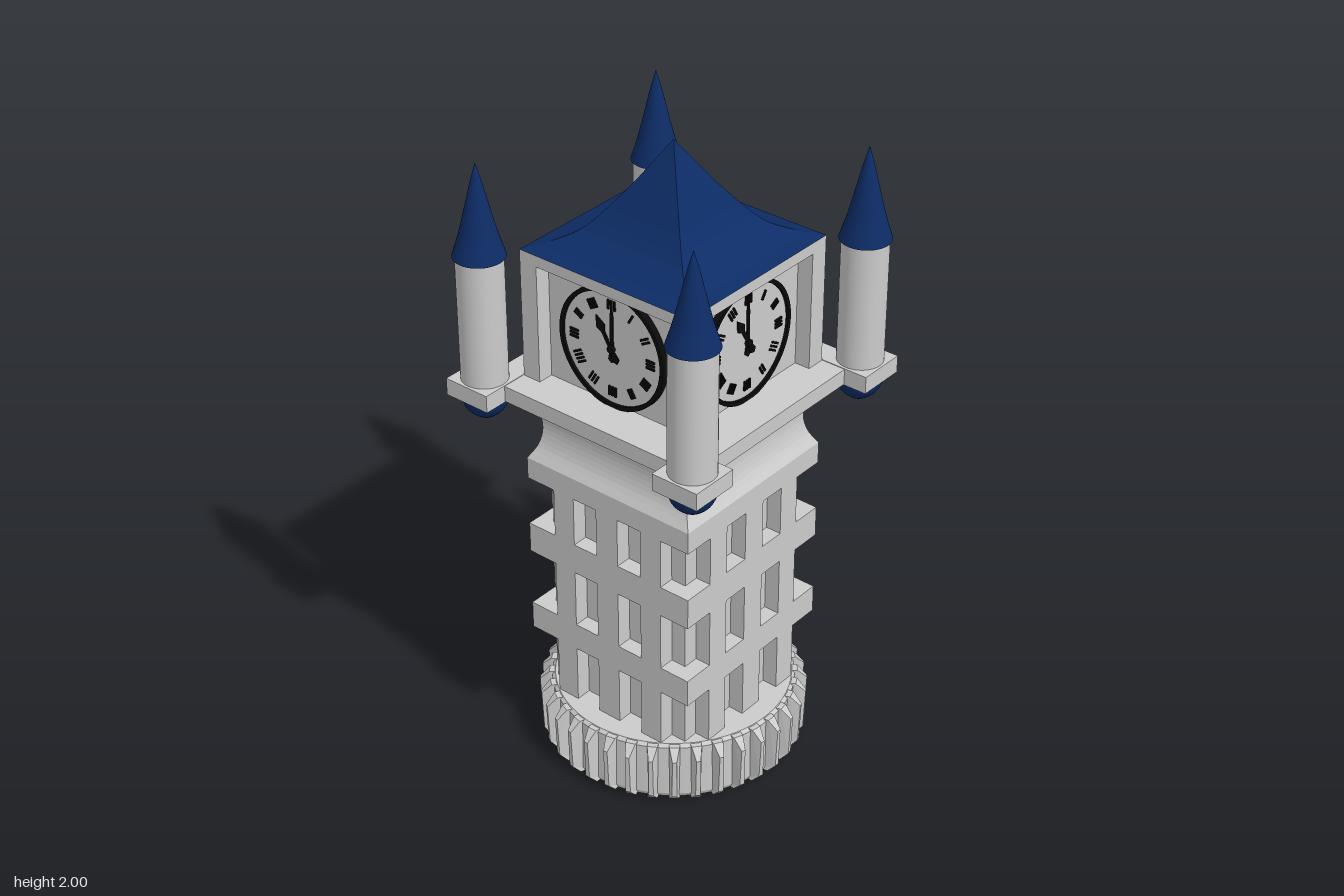
import * as THREE from 'three';

const grey = new THREE.MeshStandardMaterial({ color: 0xcccccc });
const greyThin = new THREE.MeshStandardMaterial({ color: 0xcccccc, side: THREE.DoubleSide });
const blue = new THREE.MeshStandardMaterial({ color: 0x0d2c66, side: THREE.DoubleSide });
const blueFlat = new THREE.MeshStandardMaterial({ color: 0x0d2c66, side: THREE.DoubleSide, flatShading: true });
const greyFlat = new THREE.MeshStandardMaterial({ color: 0xcccccc, side: THREE.DoubleSide, flatShading: true });
const black = new THREE.MeshStandardMaterial({ color: 0x0a0a0a });

function add(parent, name, geometry, material, x = 0, y = 0, z = 0) {
  const mesh = new THREE.Mesh(geometry, material);
  mesh.name = name;
  mesh.position.set(x, y, z);
  parent.add(mesh);
  return mesh;
}

// Box given by its lower and upper corners
function block(parent, name, [x0, y0, z0], [x1, y1, z1], material = grey) {
  return add(parent, name, new THREE.BoxGeometry(x1 - x0, y1 - y0, z1 - z0), material,
    (x0 + x1) / 2, (y0 + y1) / 2, (z0 + z1) / 2);
}

const points = (list) => list.map(([x, y]) => new THREE.Vector2(x, y));
const smooth = (list, n) => new THREE.SplineCurve(points(list)).getPoints(n);

// Square sweep: a four-sided lathe whose profile gives the half width
function squareLathe(profile) {
  const scaled = profile.map((p) => new THREE.Vector2(Math.max(p.x, 0) * Math.SQRT2, p.y));
  return new THREE.LatheGeometry(scaled, 4, Math.PI / 4);
}

// Repeats a part on the four sides, built as for the +z side
function fourSides(parent, name, build) {
  for (let i = 0; i < 4; i++) {
    const side = new THREE.Group();
    side.name = name;
    side.rotation.y = i * Math.PI / 2;
    build(side);
    parent.add(side);
  }
}

function makeBase() {
  const base = new THREE.Group();
  base.name = 'base';

  // Hollow drum, open below, with a hub tube inside
  const drum = points([[0.325, 0.17], [0.325, 0], [0.365, 0], [0.372, 0.015], [0.372, 0.19], [0.362, 0.2], [0, 0.2]]);
  for (let i = 0; i < drum.length - 1; i++) {
    add(base, 'drum', new THREE.LatheGeometry([drum[i], drum[i + 1]], 72), greyThin);
  }
  add(base, 'drumCeiling', new THREE.CylinderGeometry(0.33, 0.33, 0.02, 48), grey, 0, 0.18, 0);
  const ring = points([[0.085, 0.17], [0.085, 0], [0.12, 0], [0.12, 0.17]]);
  for (let i = 0; i < 3; i++) {
    add(base, 'hub', new THREE.LatheGeometry([ring[i], ring[i + 1]], 40), greyThin);
  }
  for (let i = 0; i < 6; i++) {
    const spoke = new THREE.Group();
    spoke.name = 'spoke';
    spoke.rotation.y = i * Math.PI / 3;
    block(spoke, 'spokeWall', [0.11, 0.001, -0.014], [0.335, 0.17, 0.014]);
    base.add(spoke);
  }

  // Ribs: bevelled at top and bottom, narrowing outward
  const shape = new THREE.Shape(points([[0.35, 0.002], [0.38, 0.002], [0.405, 0.03], [0.41, 0.165], [0.38, 0.198], [0.35, 0.198]]));
  const rib = new THREE.ExtrudeGeometry(shape, { depth: 0.036, bevelEnabled: false }).translate(0, 0, -0.018);
  const pos = rib.attributes.position;
  for (let i = 0; i < pos.count; i++) {
    const t = Math.max(0, (pos.getX(i) - 0.37) / 0.04);
    pos.setZ(i, pos.getZ(i) * (1 - 0.65 * t));
  }
  rib.computeVertexNormals();
  for (let i = 0; i < 36; i++) {
    add(base, 'rib', rib, grey).rotation.y = i * Math.PI / 18;
  }
  return base;
}

function makeTower() {
  const tower = new THREE.Group();
  tower.name = 'tower';
  block(tower, 'core', [-0.25, 0.19, -0.25], [0.25, 1, 0.25]);
  for (const [y0, y1] of [[0.39, 0.48], [0.67, 0.77], [0.93, 1.0]]) {
    block(tower, 'band', [-0.3, y0, -0.3], [0.3, y1, 0.3]);
  }
  // Piers between the window recesses
  fourSides(tower, 'piers', (side) => {
    for (const [x0, x1] of [[-0.2, -0.125], [-0.04, 0.04], [0.125, 0.2]]) {
      for (const [y0, y1] of [[0.2, 0.39], [0.48, 0.67], [0.77, 0.93]]) {
        block(side, 'pier', [x0, y0, 0.245], [x1, y1, 0.3]);
      }
    }
  });
  // Curved neck under the gallery
  const neck = smooth([[0.3, 1], [0.276, 1.045], [0.266, 1.1], [0.274, 1.16], [0.3, 1.23]], 14);
  add(tower, 'neck', squareLathe(neck), greyFlat);
  return tower;
}

function makeClock() {
  const clock = new THREE.Group();
  clock.name = 'clock';
  const face = new THREE.CylinderGeometry(0.18, 0.18, 0.012, 64).rotateX(Math.PI / 2);
  add(clock, 'clockFace', face, grey, 0, 0, 0.006);
  const rimShape = new THREE.Shape().absarc(0, 0, 0.187, 0, Math.PI * 2);
  rimShape.holes.push(new THREE.Path().absarc(0, 0, 0.174, 0, Math.PI * 2));
  add(clock, 'clockRim', new THREE.ExtrudeGeometry(rimShape, { depth: 0.02, bevelEnabled: false, curveSegments: 48 }), black);
  // Hour marks made of thin bars
  [3, 1, 2, 3, 3, 2, 3, 3, 4, 3, 2, 3].forEach((n, hour) => {
    const mark = new THREE.Group();
    mark.name = 'hourMark';
    mark.rotation.z = -hour * Math.PI / 6;
    for (let k = 0; k < n; k++) {
      const x = (k - (n - 1) / 2) * 0.011;
      block(mark, 'markBar', [x - 0.003, 0.122, 0.01], [x + 0.003, 0.152, 0.017], black);
    }
    clock.add(mark);
  });
  // Hands with a leaf tip and a short tail
  const hand = (name, length, width, angle, z) => {
    const shape = new THREE.Shape(points([[-0.005, 0], [-0.012, -0.035], [0, -0.045], [0.012, -0.035], [0.005, 0],
      [0.005, length * 0.5], [width, length * 0.68], [0, length], [-width, length * 0.68], [-0.005, length * 0.5]]));
    const geometry = new THREE.ExtrudeGeometry(shape, { depth: 0.005, bevelEnabled: false });
    add(clock, name, geometry, black, 0, 0, z).rotation.z = angle;
  };
  hand('minuteHand', 0.145, 0.005, 0, 0.012);
  hand('hourHand', 0.105, 0.016, Math.PI / 6, 0.016);
  add(clock, 'handPin', new THREE.CylinderGeometry(0.011, 0.011, 0.024, 20).rotateX(Math.PI / 2), black, 0, 0, 0.012);
  return clock;
}

function makeClockRoom() {
  const room = new THREE.Group();
  room.name = 'clockRoom';
  block(room, 'gallery', [-0.38, 1.23, -0.38], [0.38, 1.28, 0.38]);
  block(room, 'roomCore', [-0.25, 1.28, -0.25], [0.25, 1.68, 0.25]);
  block(room, 'lintel', [-0.3, 1.65, -0.3], [0.3, 1.685, 0.3]);
  for (const x of [-0.27, 0.27]) for (const z of [-0.27, 0.27]) {
    block(room, 'cornerPost', [x - 0.03, 1.28, z - 0.03], [x + 0.03, 1.65, z + 0.03]);
  }
  fourSides(room, 'clockSide', (side) => {
    const clock = makeClock();
    clock.position.set(0, 1.465, 0.25);
    side.add(clock);
  });
  // Concave four-sided roof
  const roof = smooth([[0.3, 1.685], [0.235, 1.708], [0.17, 1.748], [0.09, 1.855], [0.04, 1.935], [0, 2]], 16);
  add(room, 'roof', squareLathe(roof), blueFlat);
  return room;
}

function makeTurret(x, z) {
  const turret = new THREE.Group();
  turret.name = 'turret';
  turret.position.set(x, 0, z);
  block(turret, 'pad', [-0.077, 1.228, -0.077], [0.077, 1.282, 0.077]);
  add(turret, 'shaft', new THREE.CylinderGeometry(0.069, 0.069, 0.395, 40), grey, 0, 1.4775, 0);
  const spire = smooth([[0.076, 1.672], [0.055, 1.74], [0.035, 1.82], [0.017, 1.895], [0, 1.955]], 14);
  add(turret, 'spire', new THREE.LatheGeometry(spire, 40), blue);
  add(turret, 'spireUnderside', new THREE.CircleGeometry(0.076, 40).rotateX(Math.PI / 2), blue, 0, 1.672, 0);
  const pendant = smooth([[0, 1.145], [0.03, 1.162], [0.055, 1.185], [0.067, 1.21], [0.07, 1.23]], 10);
  add(turret, 'pendant', new THREE.LatheGeometry(pendant, 40), blue);
  return turret;
}

export function createModel() {
  const model = new THREE.Group();
  model.name = 'clockTower';
  model.add(makeBase(), makeTower(), makeClockRoom());
  for (const x of [-0.378, 0.378]) for (const z of [-0.378, 0.378]) model.add(makeTurret(x, z));
  return model;
}
